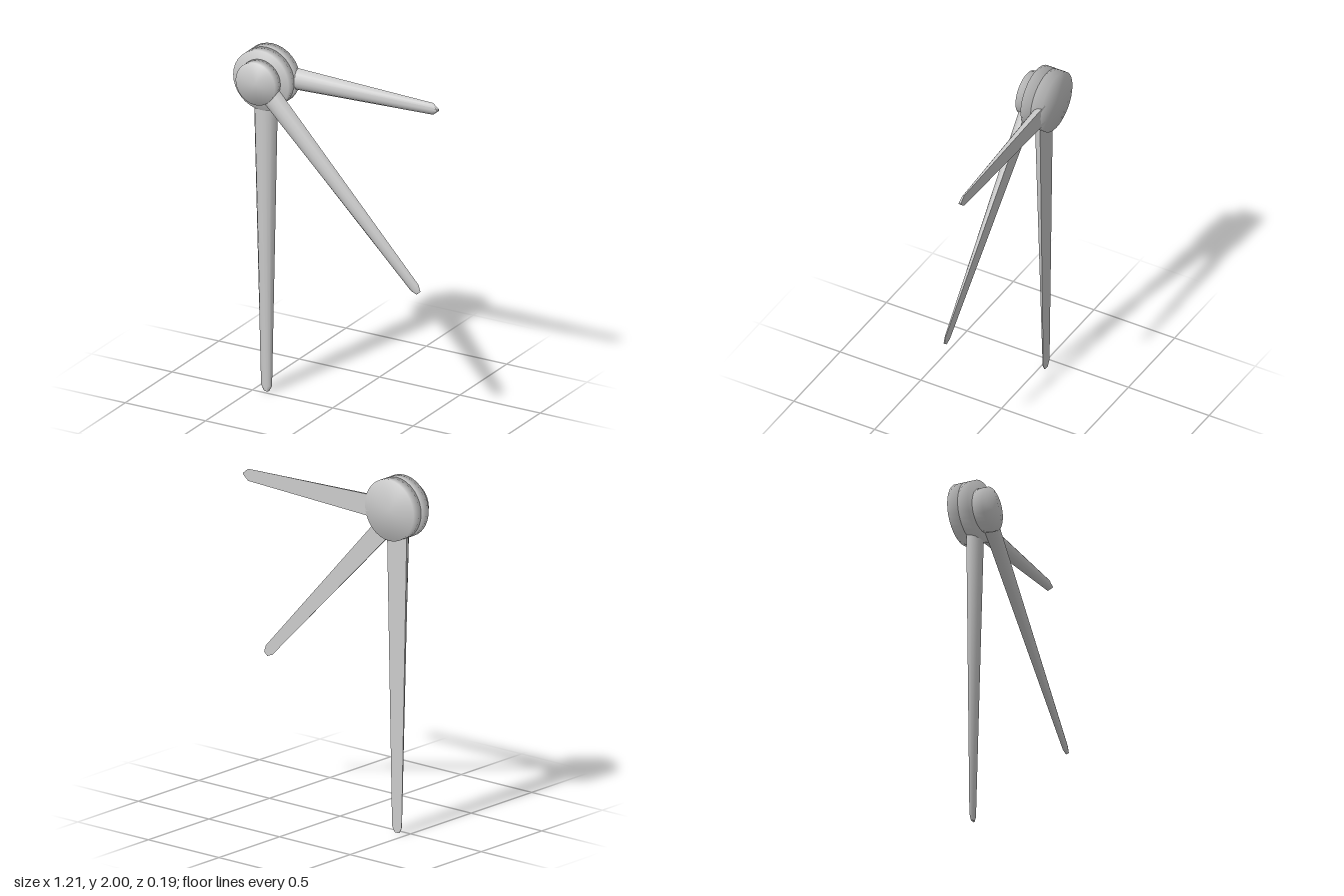
import * as THREE from 'three';
import { mergeVertices, toCreasedNormals } from 'three/addons/utils/BufferGeometryUtils.js';

const HUB = { x: -0.43, y: 1.828 };

// Tapered arm: flat back, half-round front; stations are [distance, halfWidth, thickness]
function armGeometry(stations) {
  const arc = 8, ring = arc + 1, pos = [], idx = [];
  for (const [r, w, h] of stations) {
    for (let i = 0; i <= arc; i++) {
      const a = Math.PI * i / arc;
      pos.push(r, w * Math.cos(a), h * Math.sin(a));
    }
  }
  const last = (stations.length - 1) * ring;
  for (let s = 0; s < stations.length - 1; s++) {
    for (let i = 0; i < ring; i++) {
      const j = (i + 1) % ring;
      const a = s * ring + i, b = s * ring + j, c = a + ring, d = b + ring;
      idx.push(a, c, b, b, c, d);
    }
  }
  for (let i = 1; i < arc; i++) {
    idx.push(0, i, i + 1);
    idx.push(last, last + i + 1, last + i);
  }
  // caps: the start faces -x, the end faces +x
  for (let k = idx.length - (arc - 1) * 6; k < idx.length; k += 3) {
    [idx[k + 1], idx[k + 2]] = [idx[k + 2], idx[k + 1]];
  }
  const g = new THREE.BufferGeometry();
  g.setAttribute('position', new THREE.Float32BufferAttribute(pos, 3));
  g.setIndex(idx);
  return toCreasedNormals(g, 0.9);
}

// Short disc along z with normals blended over its rim
function hubGeometry(radius, depth) {
  const g = new THREE.CylinderGeometry(radius, radius, depth, 32);
  g.rotateX(Math.PI / 2);
  g.translate(0, 0, depth / 2);
  g.deleteAttribute('normal');
  g.deleteAttribute('uv');
  const merged = mergeVertices(g);
  merged.computeVertexNormals();
  return merged;
}

export function createModel() {
  const model = new THREE.Group();
  model.name = 'clockHands';
  const material = new THREE.MeshStandardMaterial({ color: 0xcccccc, side: THREE.DoubleSide });

  const hands = [
    { name: 'hourHand', z: -0.095, depth: 0.063, radius: 0.172, angle: 0,
      stations: [[0.1, 0.063, 0.063], [0.17, 0.06, 0.061], [1.0, 0.034, 0.018], [1.035, 0.005, 0.015]] },
    { name: 'minuteHand', z: -0.032, depth: 0.062, radius: 0.172, angle: -Math.PI / 2,
      stations: [[0.1, 0.071, 0.062], [0.17, 0.069, 0.06], [1.795, 0.034, 0.014], [1.828, 0.016, 0.012]] },
    { name: 'secondHand', z: 0.03, depth: 0.06, radius: 0.122, angle: -0.81,
      stations: [[0.06, 0.06, 0.06], [0.13, 0.058, 0.059], [1.39, 0.032, 0.013], [1.425, 0.015, 0.011]] },
  ];

  // Three stacked hands sharing one pivot
  for (const h of hands) {
    const hand = new THREE.Group();
    hand.name = h.name;
    hand.position.set(HUB.x, HUB.y, h.z);
    hand.rotation.z = h.angle;
    const hub = new THREE.Mesh(hubGeometry(h.radius, h.depth), material);
    hub.name = h.name + 'Hub';
    const arm = new THREE.Mesh(armGeometry(h.stations), material);
    arm.name = h.name + 'Arm';
    hand.add(hub, arm);
    model.add(hand);
  }
  return model;
}
